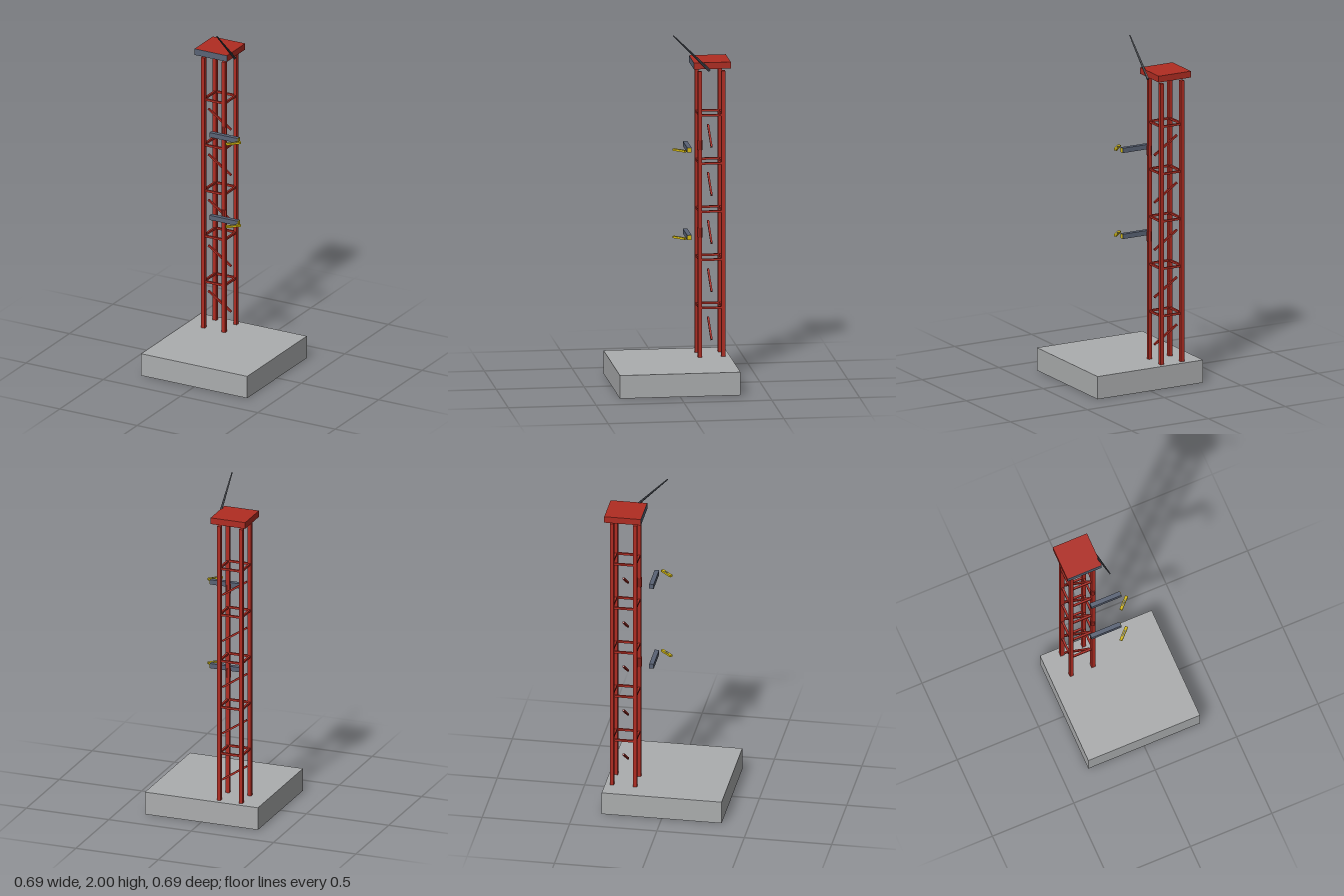
import * as THREE from 'three';

const mat = (name, color, extra = {}) => {
  const m = new THREE.MeshStandardMaterial({ color, flatShading: true, ...extra });
  m.name = name;
  return m;
};

export function createModel() {
  const root = new THREE.Group();
  root.name = 'signalTower';
  const concrete = mat('concrete grey', 0xabadae);
  const red = mat('tower red', 0xb02c22);
  const steel = mat('blue grey steel', 0x5a6375);
  const dark = mat('dark rod grey', 0x474c55);
  const yellow = mat('tip yellow', 0xd8bc10);

  const add = (parent, name, geo, material, x, y, z) => {
    const mesh = new THREE.Mesh(geo, material);
    mesh.name = name;
    mesh.position.set(x, y, z);
    parent.add(mesh);
    return mesh;
  };
  const box = (parent, name, m, w, h, d, x, y, z) =>
    add(parent, name, new THREE.BoxGeometry(w, h, d), m, x, y, z);

  // Base slab
  box(root, 'baseSlab', concrete, 0.686, 0.133, 0.686, 0, 0.0665, 0);

  // Lattice tower standing in the back corner of the slab
  const tower = new THREE.Group();
  tower.name = 'latticeTower';
  tower.position.set(-0.16, 0, -0.237);
  root.add(tower);
  const half = 0.0665;
  for (const sx of [-1, 1]) for (const sz of [-1, 1])
    box(tower, 'post', red, 0.022, 1.647, 0.022, sx * half, 0.9565, sz * half);

  // Square rings of rungs, with one sloping brace through the middle of each bay
  for (let i = 0; i < 5; i++) {
    const y = 0.415 + i * 0.2775;
    for (const s of [-1, 1]) {
      box(tower, 'crossRung', red, half * 2, 0.012, 0.012, 0, y, s * half);
      box(tower, 'sideRung', red, 0.012, 0.012, half * 2, s * half, y, 0);
    }
    const brace = box(tower, 'brace', red, 0.177, 0.011, 0.011, 0, y - 0.133, 0);
    brace.rotation.z = -0.59;
  }

  // Top plate with a steel front edge
  box(tower, 'topPlate', red, 0.21, 0.037, 0.208, 0, 1.8185, -0.001);
  box(tower, 'plateFrontEdge', steel, 0.21, 0.037, 0.002, 0, 1.8185, 0.104);

  // Tapered rod leaning forward at 45 degrees
  const rod = add(root, 'leaningRod', new THREE.CylinderGeometry(0.0035, 0.008, 0.293, 8),
    dark, -0.055, 1.894, -0.118);
  rod.rotation.x = Math.PI / 4;

  // Two arms, each with a clamp on the front post and an angled tip
  for (const y of [0.852, 1.356]) {
    const arm = new THREE.Group();
    arm.name = 'armAssembly';
    arm.position.y = y;
    root.add(arm);
    add(arm, 'clamp', new THREE.CylinderGeometry(0.016, 0.016, 0.055, 10), red, -0.0935, 0, -0.1705);
    box(arm, 'armBeam', steel, 0.183, 0.028, 0.026, -0.0485, 0, -0.0935);
    box(arm, 'armEndPlate', yellow, 0.002, 0.026, 0.024, 0.044, 0, -0.0935);
    const tip = new THREE.Group();
    tip.name = 'angledTip';
    tip.position.set(0.039, 0, -0.037);
    tip.rotation.y = Math.PI / 4;
    arm.add(tip);
    box(tip, 'tipBar', yellow, 0.088, 0.011, 0.017, 0, 0, 0);
    for (const s of [-1, 1])
      box(tip, 'tipStripe', steel, 0.04, 0.001, 0.006, 0, s * 0.0058, 0);
  }
  return root;
}
